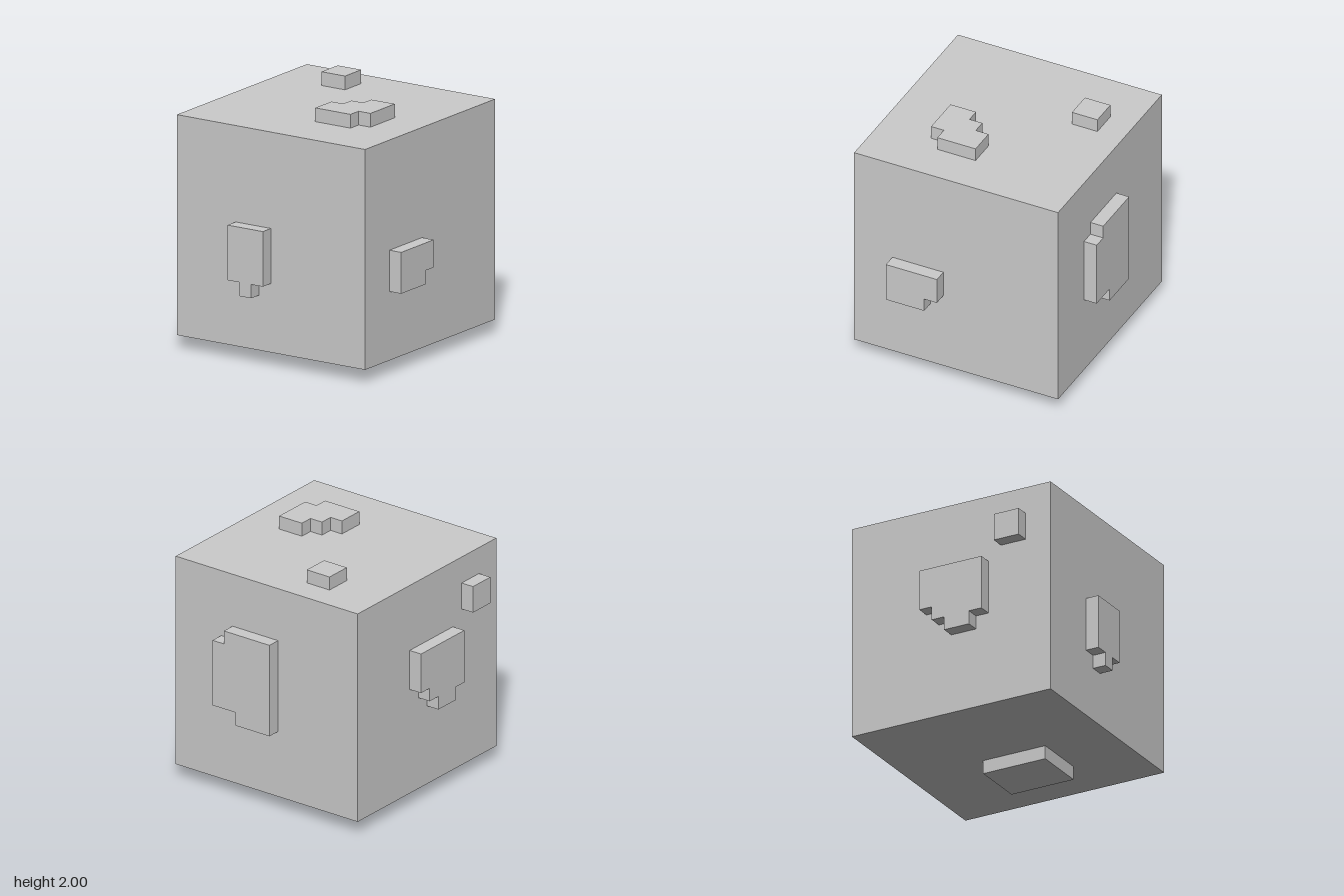
import * as THREE from 'three';

// everything sits on a grid of 18 cells across 2 units
const UNIT = 1 / 9;
const HALF = 8; // half of the cube's edge, in cells

const rect = (x0, y0, x1, y1) => [[x0, y0], [x1, y0], [x1, y1], [x0, y1]];

// u and v axes of each cube side; the outward normal is u x v
const SIDES = {
  front: [[1, 0, 0], [0, 1, 0]],
  back: [[-1, 0, 0], [0, 1, 0]],
  left: [[0, 0, -1], [0, 1, 0]],
  right: [[0, 0, 1], [0, 1, 0]],
  top: [[1, 0, 0], [0, 0, -1]],
  bottom: [[1, 0, 0], [0, 0, 1]],
};

// stepped outlines in (u, v) cells from the middle of each side
const PLATES = [
  ['frontPlate', 'front', [[-3, -3], [-2, -3], [-2, -4], [-1, -4], [-1, -3], [0, -3], [0, 1], [-3, 1]]],
  ['backPlate', 'back', [[-4, -2], [-2, -2], [-2, -3], [1, -3], [1, 4], [-3, 4], [-3, 3], [-4, 3]]],
  ['leftPlate', 'left', [[-5, -3], [-2, -3], [-2, -2], [-1, -2], [-1, 0], [-5, 0]]],
  ['rightPlate', 'right', [[-2, 0], [-1, 0], [-1, -1], [0, -1], [0, -2], [2, -2], [2, -1], [3, -1], [3, 3], [-2, 3]]],
  ['rightSmallPlate', 'right', rect(4, 4, 6, 6)],
  ['topPlate', 'top', [[1, -4], [4, -4], [4, -3], [5, -3], [5, 0], [3, 0], [3, -1], [2, -1], [2, -2], [1, -2]]],
  ['topSmallPlate', 'top', rect(-4, 4, -2, 6)],
  ['bottomPlate', 'bottom', rect(0, -2, 4, 3)],
];

export function createModel() {
  const model = new THREE.Group();
  model.name = 'blockWithPlates';
  const material = new THREE.MeshStandardMaterial({ color: 0xcccccc, flatShading: true });

  const add = (name, geometry) => {
    geometry.scale(UNIT, UNIT, UNIT).translate(0, 1, 0);
    const mesh = new THREE.Mesh(geometry, material);
    mesh.name = name;
    model.add(mesh);
  };

  // main cube
  add('cube', new THREE.BoxGeometry(2 * HALF, 2 * HALF, 2 * HALF));

  // raised plates, one cell thick, turned onto their side of the cube
  for (const [name, side, outline] of PLATES) {
    const [u, v] = SIDES[side].map((a) => new THREE.Vector3(...a));
    const n = u.clone().cross(v);
    const shape = new THREE.Shape(outline.map(([x, y]) => new THREE.Vector2(x, y)));
    const geometry = new THREE.ExtrudeGeometry(shape, { depth: 1, bevelEnabled: false });
    geometry.translate(0, 0, HALF).applyMatrix4(new THREE.Matrix4().makeBasis(u, v, n));
    add(name, geometry);
  }
  return model;
}
